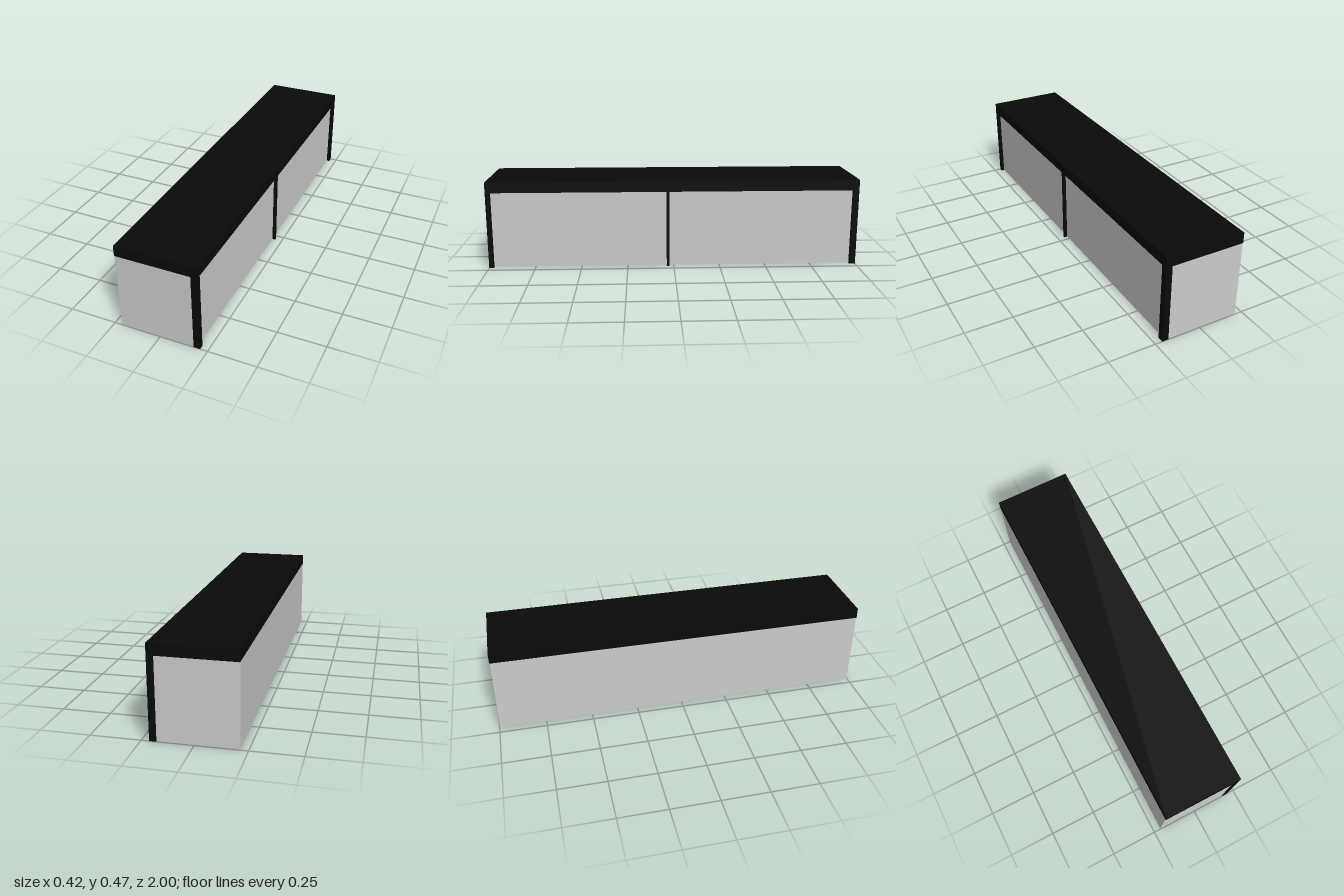
import * as THREE from 'three';

export function createModel() {
  const group = new THREE.Group();
  const grey = new THREE.MeshStandardMaterial({ color: 0xcccccc });
  const black = new THREE.MeshStandardMaterial({ color: 0x0a0a0a });

  // Box given by its extents along each axis
  const box = (name, material, [x0, x1], [y0, y1], [z0, z1]) => {
    const mesh = new THREE.Mesh(new THREE.BoxGeometry(x1 - x0, y1 - y0, z1 - z0), material);
    mesh.position.set((x0 + x1) / 2, (y0 + y1) / 2, (z0 + z1) / 2);
    mesh.name = name;
    group.add(mesh);
  };

  const halfWidth = 0.212, slabBottom = 0.414, height = 0.471;

  // Enclosed body, set slightly back behind the posts
  box('body', grey, [-halfWidth, 0.195], [0.002, slabBottom], [-0.997, 0.997]);

  // Overhanging flat top
  box('topSlab', black, [-halfWidth, halfWidth], [slabBottom, height], [-1, 1]);

  // Slim posts along the left side
  const posts = { frontPost: [0.975, 1], middlePost: [0.024, 0.038], backPost: [-1, -0.968] };
  for (const [name, zRange] of Object.entries(posts)) {
    box(name, black, [0.178, halfWidth], [0, slabBottom], zRange);
  }

  return group;
}
